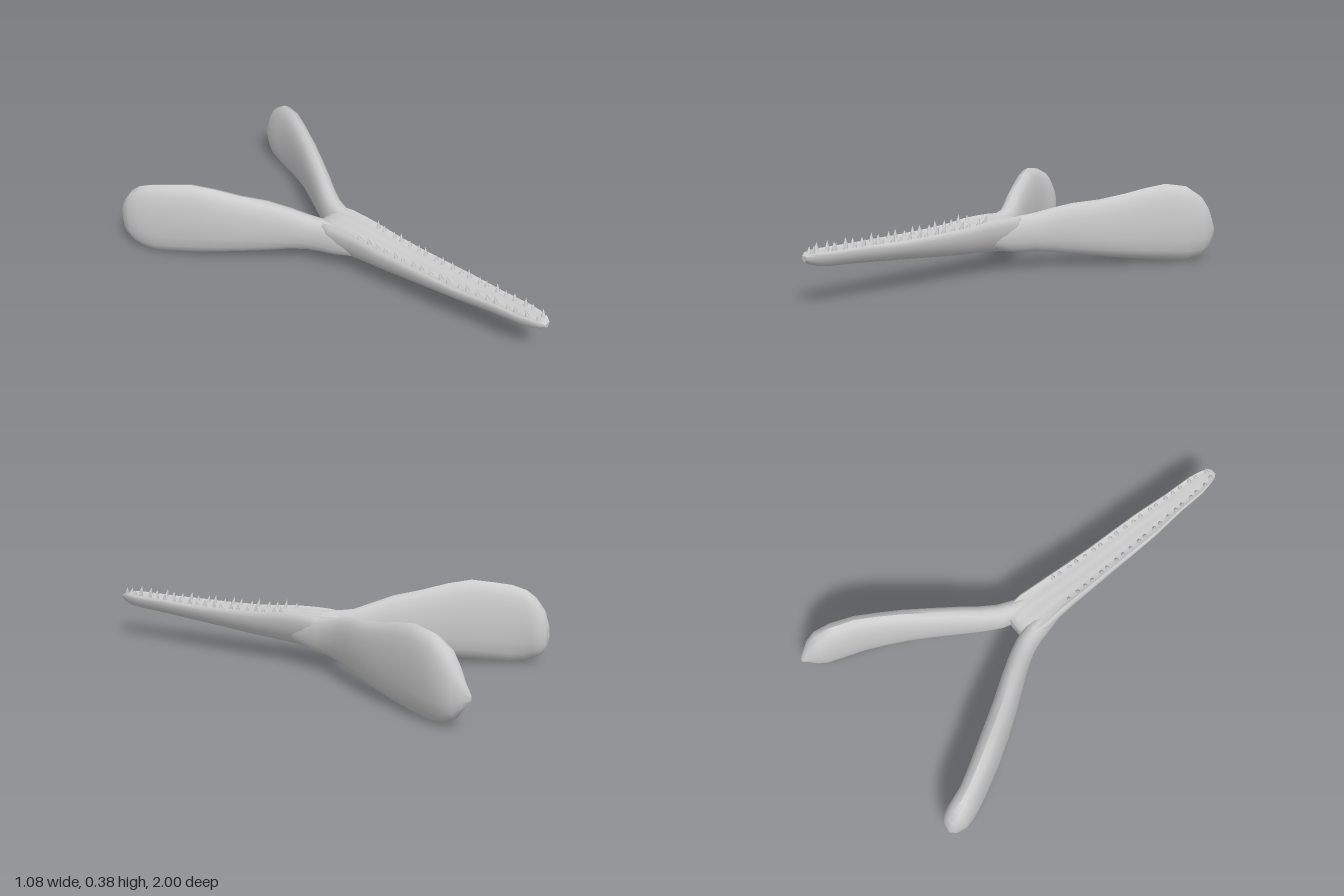
import * as THREE from 'three';
import { toCreasedNormals } from 'three/addons/utils/BufferGeometryUtils.js';

const material = new THREE.MeshStandardMaterial({ color: 0xcccccc, side: THREE.DoubleSide });

// Skins a list of equal-length rings and closes both ends with fans.
function loft(rings) {
  const n = rings[0].length, pos = [], index = [];
  rings.forEach(r => r.forEach(p => pos.push(p.x, p.y, p.z)));
  for (let i = 0; i < rings.length - 1; i++) {
    for (let j = 0; j < n; j++) {
      const a = i * n + j, b = i * n + (j + 1) % n, c = a + n, d = b + n;
      index.push(a, c, b, b, c, d);
    }
  }
  [0, rings.length - 1].forEach((i, end) => {
    const mid = new THREE.Vector3();
    rings[i].forEach(p => mid.addScaledVector(p, 1 / n));
    const m = pos.length / 3;
    pos.push(mid.x, mid.y, mid.z);
    for (let j = 0; j < n; j++) {
      const a = i * n + j, b = i * n + (j + 1) % n;
      if (end) index.push(m, b, a); else index.push(m, a, b);
    }
  });
  const geo = new THREE.BufferGeometry();
  geo.setAttribute('position', new THREE.Float32BufferAttribute(pos, 3));
  geo.setIndex(index);
  return toCreasedNormals(geo, 0.8);
}

function add(group, name, geo) {
  const mesh = new THREE.Mesh(geo, material);
  mesh.name = name;
  group.add(mesh);
  return mesh;
}

// Snout sections: z, half width, bottom y, top y, depth of the tooth channel
const SNOUT = [
  [1.0, 0.015, 0.182, 0.203, 0], [0.98, 0.03, 0.17, 0.213, 0.002], [0.94, 0.041, 0.157, 0.217, 0.004],
  [0.89, 0.05, 0.151, 0.217, 0.005], [0.75, 0.055, 0.143, 0.216, 0.006], [0.58, 0.07, 0.131, 0.216, 0.006],
  [0.45, 0.074, 0.121, 0.217, 0.006], [0.3, 0.077, 0.108, 0.222, 0.006], [0.18, 0.082, 0.1, 0.229, 0.007],
  [0.08, 0.086, 0.094, 0.24, 0.009], [0, 0.091, 0.089, 0.243, 0.007], [-0.08, 0.097, 0.084, 0.242, 0.005],
  [-0.13, 0.092, 0.084, 0.24, 0.005], [-0.16, 0.07, 0.095, 0.228, 0.006], [-0.18, 0.05, 0.115, 0.205, 0.006],
];

// Right half of a snout section: across, up, share of the channel depth
const HALF = [
  [0.3, 0.02, 0], [0.58, 0.12, 0], [0.8, 0.31, 0], [0.94, 0.55, 0], [1, 0.78, 0], [0.97, 0.93, 0],
  [0.88, 1, 0], [0.72, 1, 0.9], [0.4, 1, 1], [0.16, 1, 0.6],
];
const SECTION = [[0, 0, 0], ...HALF, [0, 1, 1.2], ...HALF.slice().reverse().map(([u, v, g]) => [-u, v, g])];

function snoutGeometry() {
  return loft(SNOUT.map(([z, w, y0, y1, depth]) =>
    SECTION.map(([u, v, g]) => new THREE.Vector3(u * w, y0 + v * (y1 - y0) - g * depth, z))));
}

// Rear branch sections: x, z, half thickness, bottom y, top y
const ROOT = [
  [0.045, 0.02, 0.03, 0.11, 0.22], [0.054, -0.06, 0.04, 0.088, 0.236], [0.065, -0.13, 0.045, 0.079, 0.244],
  [0.09, -0.2, 0.046, 0.076, 0.253],
];
const LEFT = [
  ...ROOT, [0.13, -0.27, 0.046, 0.069, 0.272], [0.185, -0.35, 0.047, 0.058, 0.292], [0.255, -0.45, 0.048, 0.045, 0.305],
  [0.32, -0.55, 0.048, 0.032, 0.327], [0.37, -0.64, 0.048, 0.021, 0.35], [0.417, -0.73, 0.05, 0.011, 0.366],
  [0.46, -0.83, 0.054, 0.002, 0.35], [0.485, -0.9, 0.055, 0.016, 0.305], [0.496, -0.94, 0.042, 0.04, 0.25],
  [0.5, -0.97, 0.024, 0.08, 0.19], [0.502, -0.998, 0.006, 0.115, 0.145],
];
const RIGHT = [
  ...ROOT, [0.13, -0.27, 0.047, 0.069, 0.281], [0.185, -0.35, 0.05, 0.055, 0.313], [0.255, -0.45, 0.052, 0.042, 0.335],
  [0.32, -0.55, 0.054, 0.028, 0.363], [0.375, -0.64, 0.054, 0.017, 0.379], [0.425, -0.73, 0.052, 0.009, 0.367],
  [0.46, -0.8, 0.051, 0.003, 0.356], [0.482, -0.86, 0.054, 0.012, 0.335], [0.492, -0.9, 0.054, 0.028, 0.305],
  [0.493, -0.94, 0.042, 0.05, 0.25], [0.49, -0.96, 0.022, 0.09, 0.19],
];

function branchGeometry(sections, sign) {
  const up = new THREE.Vector3(0, 1, 0);
  const centres = sections.map(([x, z, , y0, y1]) => new THREE.Vector3(sign * x, (y0 + y1) / 2, z));
  const last = centres.length - 1;
  return loft(sections.map(([, , w, y0, y1], i) => {
    const dir = centres[Math.min(i + 1, last)].clone().sub(centres[Math.max(i - 1, 0)]).setY(0).normalize();
    const side = dir.cross(up);
    return Array.from({ length: 16 }, (_, j) => {
      const a = (j / 16) * Math.PI * 2 - Math.PI / 2;
      const c = Math.cos(a), s = Math.sin(a);
      return centres[i].clone()
        .addScaledVector(side, w * Math.sign(c) * Math.abs(c) ** 0.85)
        .addScaledVector(up, Math.sign(s) * Math.abs(s) ** 0.9 * (y1 - y0) / 2);
    });
  }));
}

// Height of the tooth channel at a given z
function topAt(z) {
  const i = SNOUT.findIndex(s => s[0] <= z);
  const a = SNOUT[i - 1], b = SNOUT[i];
  return THREE.MathUtils.mapLinear(z, a[0], b[0], a[3] - a[4], b[3] - b[4]);
}

export function createModel() {
  const model = new THREE.Group();
  model.name = 'lowerJaw';
  add(model, 'snout', snoutGeometry());
  add(model, 'leftBranch', branchGeometry(LEFT, 1));
  add(model, 'rightBranch', branchGeometry(RIGHT, -1));

  // Two rows of small pointed teeth of varied height, leaning slightly outward and back
  const count = 20;
  const toothShape = new THREE.ConeGeometry(0.013, 1, 6).translate(0, 0.5, 0);
  for (const sign of [1, -1]) {
    const row = new THREE.Group();
    row.name = sign > 0 ? 'leftTeeth' : 'rightTeeth';
    for (let i = 0; i < count; i++) {
      const t = i / (count - 1);
      const z = THREE.MathUtils.lerp(0.08, 0.965, t) + 0.006 * Math.sin(i * 3.7 + sign);
      const x = t > 0.97 ? 0.014 : THREE.MathUtils.lerp(0.06, 0.026, t);
      const tooth = add(row, 'tooth', toothShape);
      tooth.position.set(sign * x, topAt(z) - 0.006, z);
      tooth.scale.set(1, 0.038 + 0.007 * Math.sin(i * 2.3 + sign), 1);
      tooth.rotation.set(-0.15, 0, -sign * 0.15);
    }
    model.add(row);
  }
  return model;
}
